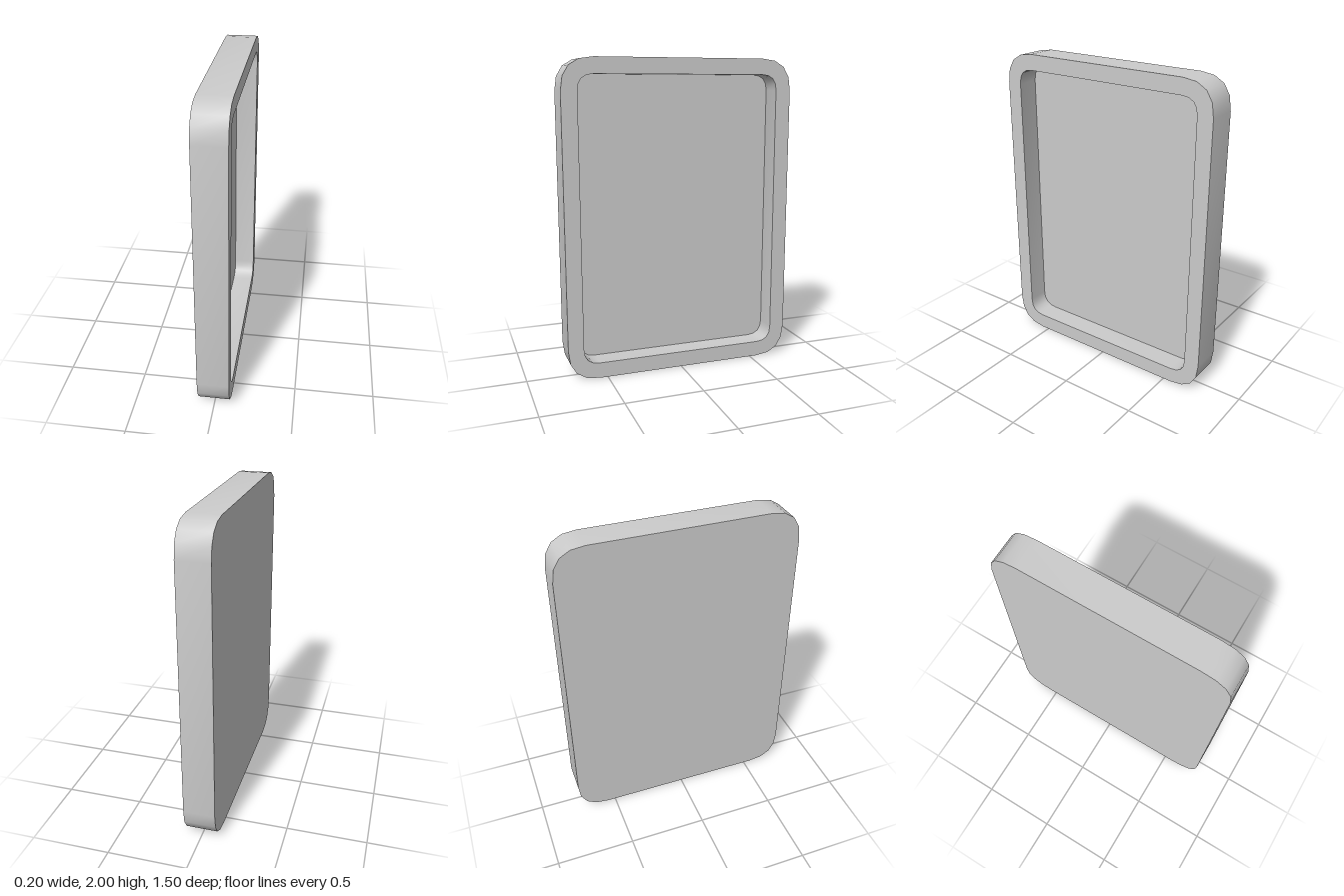
import * as THREE from 'three';
import { toCreasedNormals } from 'three/addons/utils/BufferGeometryUtils.js';

// Rounded rectangle outline (half width w, half height h, corner r), counter-clockwise
function outline(w, h, r) {
  const s = new THREE.Shape();
  s.moveTo(w, r - h);
  s.lineTo(w, h - r);
  s.quadraticCurveTo(w, h, w - r, h);
  s.lineTo(r - w, h);
  s.quadraticCurveTo(-w, h, -w, h - r);
  s.lineTo(-w, r - h);
  s.quadraticCurveTo(-w, -h, r - w, -h);
  s.lineTo(w - r, -h);
  s.quadraticCurveTo(w, -h, w, r - h);
  return s.getPoints(4).slice(0, -1);
}

// Skin consecutive rings of points; the first and last rings collapse to a centre point
function skin(rings) {
  const pos = [];
  const tri = (...v) => v.forEach((p) => pos.push(p.x, p.y, p.z));
  const n = rings[0].length;
  for (let i = 0; i < rings.length - 1; i++) {
    for (let j = 0; j < n; j++) {
      const k = (j + 1) % n;
      const a = rings[i][j], b = rings[i][k], c = rings[i + 1][k], d = rings[i + 1][j];
      if (i > 0) tri(a, b, d);
      if (i === 0) tri(a, c, d);
      else if (i < rings.length - 2) tri(b, c, d);
    }
  }
  const g = new THREE.BufferGeometry();
  g.setAttribute('position', new THREE.Float32BufferAttribute(pos, 3));
  return toCreasedNormals(g, 0.65);
}

export function createModel() {
  const group = new THREE.Group();
  group.name = 'tray';

  const outer = outline(0.75, 1, 0.2);
  const inner = outline(0.65, 0.9, 0.1);
  const ring = (pts, x, s = 1) => pts.map((p) => new THREE.Vector3(x, 1 + p.y * s, -p.x * s));

  // Shallow tray standing on edge: solid back on -x, recess open to +x
  const back = -0.1, front = 0.1, floor = -0.04;
  const geometry = skin([
    ring(outer, back, 0),
    ring(outer, back),
    ring(outer, front),
    ring(inner, front),
    ring(inner, floor),
    ring(inner, floor, 0),
  ]);
  const body = new THREE.Mesh(geometry, new THREE.MeshStandardMaterial({ color: 0xcccccc }));
  body.name = 'trayBody';
  group.add(body);
  return group;
}
